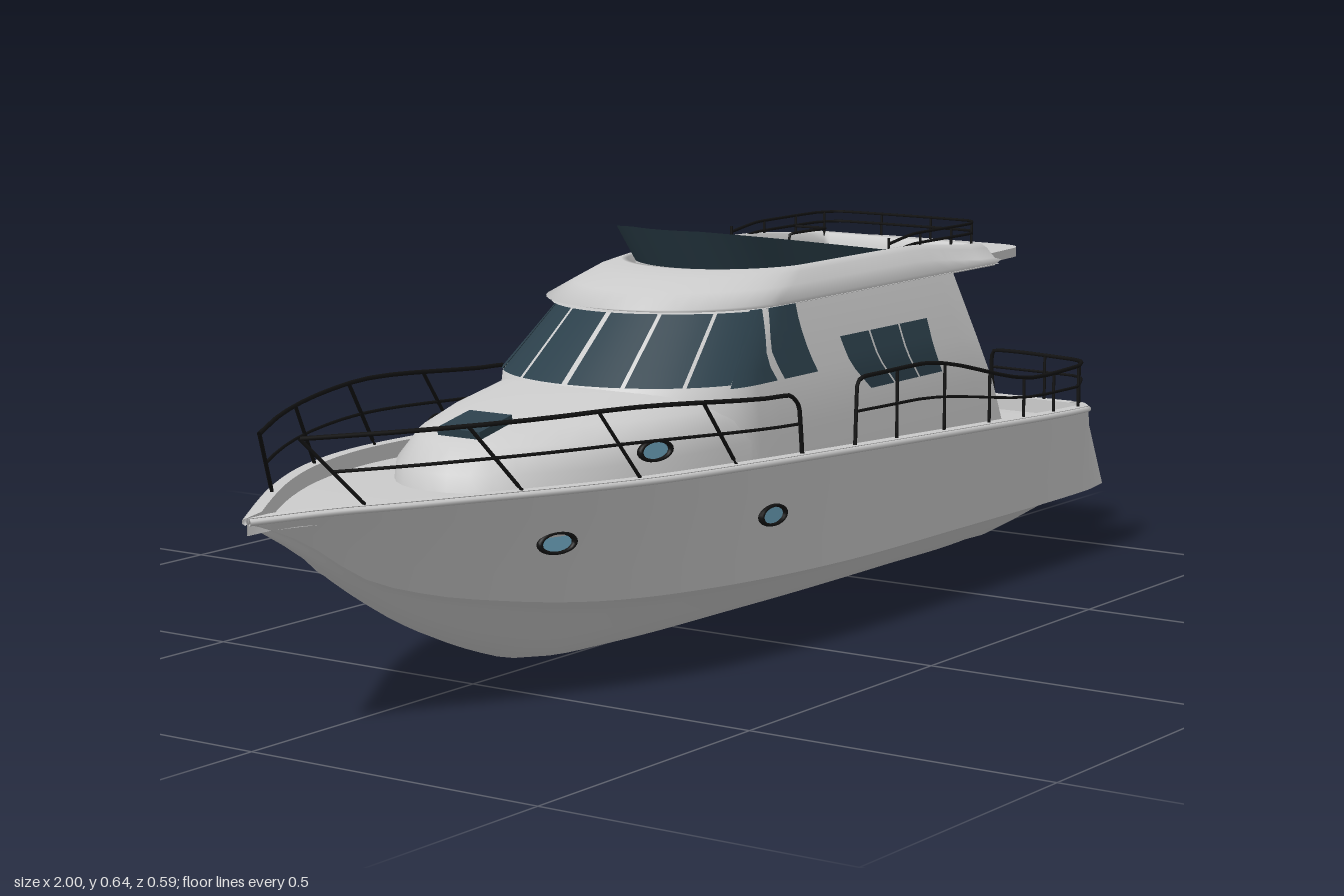
import * as THREE from 'three';

const mat = (color) => new THREE.MeshStandardMaterial({ color, side: THREE.DoubleSide });
const GREY = mat(0xcccccc), GLASS = mat(0x2c404b), BLUE = mat(0x6a9fb8), BLACK = mat(0x111111);
const lerp = THREE.MathUtils.lerp;
const V = (x, y, z) => new THREE.Vector3(x, y, z);

// Smooth surface through rows of points
function grid(rows) {
  const n = rows[0].length, index = [];
  for (let i = 0; i < rows.length - 1; i++) for (let j = 0; j < n - 1; j++) {
    const a = i * n + j, b = a + n;
    index.push(a, b, a + 1, b, b + 1, a + 1);
  }
  const g = new THREE.BufferGeometry().setFromPoints(rows.flat());
  g.setIndex(index);
  g.computeVertexNormals();
  return g;
}
const range = (a, b, n) => Array.from({ length: n + 1 }, (_, i) => lerp(a, b, i / n));

// Hull stations: sheer height, sheer half width, chine height, chine half width, keel height
const HULL_X = [-1, -.9, -.8, -.7, -.6, -.5, -.4, -.2, .1, .5, .8, .88, .93, 1];
const HULL = [
  .33, .004, .325, .003, .32, .335, .065, .28, .02, .265, .336, .125, .215, .045, .2,
  .336, .175, .18, .088, .14, .334, .215, .16, .132, .09, .331, .245, .145, .17, .05,
  .327, .265, .135, .2, .02, .319, .283, .125, .24, .007, .305, .29, .115, .262, .002,
  .285, .288, .112, .266, 0, .269, .28, .11, .265, .003, .265, .274, .11, .264, .014,
  .262, .265, .11, .262, .1, .26, .235, .11, .25, .107];
const hullCurve = new THREE.CubicInterpolant(HULL_X, HULL, 5);
function hullAt(x) {
  const [sy, sw, cy, cw, ky] = hullCurve.evaluate(x);
  return { sy, sw, cy, cw, ky, sx: x > .9 ? .9 + (x - .9) * .55 : x };
}
const hullZ = (x, y) => {
  const h = hullAt(x);
  return lerp(h.cw, h.sw, (y - h.cy) / (h.sy - h.cy));
};

// Plan outline of a cabin level [y, front, halfWidth, noseLength, aft];
// |s| 0-1 is the rounded nose, 1-2 the side, 2-3 the back
function plan([y, f, w, a, aft], s) {
  const t = Math.abs(s), sign = Math.sign(s);
  if (t <= 1) return V(f + a * (1 - Math.cos(t * Math.PI / 2)), y, sign * w * Math.sin(t * Math.PI / 2));
  if (t <= 2) return V(lerp(f + a, aft, t - 1), y, sign * w);
  return V(aft, y, sign * w * (3 - t));
}
const CABIN = [[.25, -.28, .237, .2, .67], [.34, -.275, .233, .2, .635], [.42, -.27, .224, .2, .595], [.53, -.14, .19, .2, .57]];
function levelAt(y) {
  let i = 0;
  while (i < CABIN.length - 2 && y > CABIN[i + 1][0]) i++;
  const t = (y - CABIN[i][0]) / (CABIN[i + 1][0] - CABIN[i][0]);
  return CABIN[i].map((v, k) => lerp(v, CABIN[i + 1][k], t));
}
function sAt(x, y) {
  const [, f, , a, aft] = levelAt(y);
  return x < f + a ? Math.acos(1 - (x - f) / a) / (Math.PI / 2) : 1 + (x - f - a) / (aft - f - a);
}

export function createModel() {
  const boat = new THREE.Group();
  const add = (name, geo, material = GREY, parent = boat) => {
    const m = new THREE.Mesh(geo, material);
    m.name = name;
    parent.add(m);
    return m;
  };
  const box = (name, w, h, d, x, y, z, material) => {
    const m = add(name, new THREE.BoxGeometry(w, h, d), material);
    m.position.set(x, y, z);
    return m;
  };
  const tube = (name, pts, r = .0035) =>
    add(name, new THREE.TubeGeometry(new THREE.CatmullRomCurve3(pts, false, 'catmullrom', .2), pts.length * 6, r, 6), BLACK);

  // Hull, bulwark and deck strips
  const stations = [...range(-1, .8, 45), ...range(.82, 1, 9)].map(hullAt);
  const xs = [...range(-1, .8, 45), ...range(.82, 1, 9)];
  const bottomShape = [[1, 1], [.87, .89], [.75, .76], [.56, .48], [.37, .22], [.18, .06], [0, 0]];
  add('hullBottom', grid(stations.map((h, i) => {
    const half = bottomShape.map(([u, v]) => V(xs[i], lerp(h.ky, h.cy, v), h.cw * u));
    return [...half, ...half.slice(0, -1).reverse().map((p) => V(p.x, p.y, -p.z))];
  })));
  const inner = (h) => Math.max(h.sw - .02, .001), edge = (h) => Math.min(h.sx, .935);
  for (const k of [1, -1]) {
    add('hullSide', grid(stations.map((h, i) => range(0, 1, 4).map((t) =>
      V(lerp(xs[i], h.sx, t), lerp(h.cy, h.sy, t), k * lerp(h.cw, h.sw, t))))));
    add('gunwale', grid(stations.map((h) => [V(h.sx, h.sy, k * h.sw), V(edge(h), h.sy, k * inner(h))])));
    add('bulwarkInside', grid(stations.map((h) => [V(edge(h), h.sy, k * inner(h)), V(edge(h), h.sy - .025, k * inner(h))])));
    add('rubbingStrake', new THREE.TubeGeometry(new THREE.CatmullRomCurve3(
      stations.map((h) => V(h.sx, h.sy - .006, k * h.sw))), 80, .005, 6));
  }
  add('deck', grid(stations.map((h) => range(-1, 1, 4).map((u) => V(edge(h), h.sy - .025, u * inner(h))))));
  const end = stations.at(-1);
  add('transom', grid(range(0, 1, 3).map((t) => range(-1, 1, 8).map((u) =>
    V(lerp(1, end.sx, t), lerp(end.cy, end.sy, t), u * lerp(end.cw, end.sw, t))))));
  box('transomTop', .02, .025, .43, .945, .248, 0);
  box('transomStep', .012, .018, .4, .992, .122, 0);

  // Low trunk cabin on the foredeck
  const nose = range(-2, 2, 48);
  const trunk = [[.27, -.61, .237, .5, 0], [.335, -.6, .232, .5, 0], [.37, -.55, .222, .46, 0],
    [.39, -.48, .208, .4, 0], [.41, -.36, .19, .3, 0], [.422, -.27, .17, .2, 0]];
  add('foredeckTrunk', grid(trunk.map((l) => nose.map((s) => plan(l, s)))));
  add('trunkTop', grid(nose.filter((s) => s >= 0).map((s) => [-s, s].map((q) => plan(trunk[5], q)))));
  const hatch = box('foredeckHatch', .08, .012, .08, -.49, .392, 0, GLASS);
  hatch.rotation.z = .2;

  // Saloon walls, with an inset bulkhead facing the cockpit
  add('saloonWalls', grid(CABIN.map((l) => nose.map((s) => plan(l, s)))));
  add('aftBulkhead', grid(CABIN.map((l) => [V(.53, l[0], -l[2]), V(.53, l[0], l[2])])));
  box('saloonDoor', .008, .25, .17, .534, .385, .02);

  // Window panes laid just outside the walls
  const pane = (name, y0, y1, b, t) => add(name, grid(range(0, 1, 5).map((v) => range(0, 1, 6).map((u) => {
    const l = levelAt(lerp(y0, y1, v));
    l[1] -= .004;
    l[2] += .004;
    return plan(l, lerp(lerp(b[0], b[1], u), lerp(t[0], t[1], u), v));
  }))), GLASS);
  for (const k of [1, -1]) {
    for (const [a, b] of [[.015, .27], [.29, .55], [.57, .8]])
      pane('windscreen', .425, .525, [k * a, k * b], [k * a, k * b]);
    const side = (name, y0, y1, b, t) =>
      pane(name, y0, y1, b.map((x) => k * sAt(x, y0)), t.map((x) => k * sAt(x, y1)));
    side('pilothouseWindow', .42, .528, [-.13, -.015], [-.02, 0.002]);
    side('pilothouseDoorWindow', .42, .528, [.005, .1], [.015, .085]);
    for (let i = 0; i < 3; i++) {
      const b = [.25 + i * .075, .32 + i * .075], t = [.185 + i * .09, .27 + i * .09];
      side('saloonWindow', .375, .465, b, t);
    }
  }

  // Flybridge: visor, coaming and sunken floor
  const ring = range(-3, 3, 72);
  const bridge = [[.525, -.14, .19, .2, .71], [.535, -.19, .198, .22, .72], [.555, -.13, .185, .22, .72], [.572, -.07, .172, .2, .715],
    [.58, -.01, .162, .18, .71], [.578, .01, .15, .14, .7], [.543, .02, .147, .14, .695]];
  const bridgeRows = bridge.map((l) => ring.map((s) => {
    const p = plan(l, s);
    if (p.y > .55) p.y -= .018 * THREE.MathUtils.smoothstep(p.x, .45, .72);
    return p;
  }));
  add('flybridgeCoaming', grid(bridgeRows));
  const across = (l) => grid(range(0, 2, 24).map((s) => [plan(l, -s), plan(l, s)]));
  add('flybridgeFloor', across(bridge[6]));
  add('visorUnderside', across([.528, -.18, .195, .22, .72]));
  const roof = new THREE.Shape();
  roof.moveTo(.3, -.188).lineTo(.6, -.185).lineTo(.82, -.165).quadraticCurveTo(.86, -.16, .862, -.11)
    .lineTo(.862, .11).quadraticCurveTo(.86, .16, .82, .165).lineTo(.6, .185).lineTo(.3, .188);
  const slab = add('roofOverhang', new THREE.ExtrudeGeometry(roof, { depth: .016, bevelEnabled: false }));
  slab.rotation.x = Math.PI / 2;
  slab.position.y = .543;

  // Tinted flybridge screen, tapering aft
  const low = [.575, .03, .153, .15, .41], high = [.64, -.012, .164, .16, .4];
  add('flybridgeScreen', grid([0, 1].map((t) => nose.map((s) => {
    const a = plan(low, s), b = plan(high, s);
    b.y = .64 - .06 * THREE.MathUtils.clamp(b.x / .4, 0, 1);
    return t ? b : a;
  }))), GLASS);

  // Helm and seat
  box('helmConsole', .06, .03, .2, .09, .56, 0);
  const wheel = add('helmWheel', new THREE.TorusGeometry(.018, .002, 6, 20), BLACK);
  wheel.rotation.y = Math.PI / 2;
  wheel.position.set(.13, .582, -.04);
  for (const z of [.015, .03]) box('gauge', .006, .012, .012, .122, .58, z, BLACK);

  // Flybridge aft rail and stair guard
  for (const y of [.597, .58]) tube('flybridgeRail', [V(.42, y - .01, .157), V(.5, y, .157), V(.68, y, .157), V(.725, y, .13),
    V(.73, y, 0), V(.725, y, -.13), V(.68, y, -.157), V(.5, y, -.157), V(.42, y - .01, -.157)], .0025);
  for (const [x, z] of [[.42, .157], [.52, .157], [.62, .157], [.7, .15], [.73, .05]])
    for (const k of [1, -1]) tube('flybridgeRailPost', [V(x, .545, k * z), V(x, .597, k * z)], .0025);
  tube('stairGuard', [V(.5, .545, -.09), V(.5, .58, -.09), V(.61, .58, -.09), V(.61, .58, -.15)], .0025);

  // Rounded steps up to the flybridge
  [[.34, .06, -.16, .6], [.375, .058, -.158, .59], [.41, .056, -.156, .575], [.45, .03, -.13, .56]].forEach(([y, r, z, x]) => {
    const riser = add('stairRiser', new THREE.CylinderGeometry(r * .93, r * .93, y - .25, 24));
    riser.position.set(x, (y + .25) / 2 - .003, z);
    const tread = add('stairTread', new THREE.CylinderGeometry(r, r, .006, 24));
    tread.position.set(x, y, z);
  });

  // Deck rails following the sheer; posts reach down to the gunwale
  const onSheer = (x, y, k) => V(x, y, k * Math.max(hullAt(x).sw - .01, .01));
  const foreTop = (x) => lerp(.435, .405, THREE.MathUtils.smoothstep(x, -.5, 0));
  const aftTop = (x) => lerp(.41, .337, THREE.MathUtils.smoothstep(x, .3, .75));
  for (const k of [1, -1]) {
    const base = (x) => hullAt(x).sy;
    const foreXs = range(-.93, -.06, 14);
    tube('bowRail', [...foreXs.map((x) => onSheer(x, foreTop(x), k)), onSheer(-.035, .385, k), onSheer(-.025, .3, k)]);
    tube('bowMidRail', range(-.89, -.03, 14).map((x) => onSheer(x, (foreTop(x) + base(x)) / 2, k)), .0025);
    for (const x of [-.85, -.63, -.42, -.2])
      tube('bowRailPost', [onSheer(x, base(x), k), onSheer(x - .08, foreTop(x - .08), k)], .003);

    const stern = (y) => [V(.925, y, k * .245), V(.945, y, k * .21), V(.955, y, k * .05)];
    tube('aftRail', [onSheer(.125, base(.125), k), onSheer(.13, .4, k), ...range(.15, .88, 12).map((x) => onSheer(x, aftTop(x), k)),
      ...stern(.337), V(.955, .255, k * .05)]);
    tube('aftMidRail', [...range(.13, .88, 12).map((x) => onSheer(x, (aftTop(x) + base(x)) / 2, k)), ...stern(.308)], .0025);
    for (const x of [.25, .4, .55, .67, .78, .88])
      tube('aftRailPost', [onSheer(x, base(x), k), onSheer(x, aftTop(x), k)], .003);
    for (const z of [.23, .16]) tube('sternRailPost', [V(.945, .255, k * z), V(.945, .337, k * z)], .003);
  }

  // Oval portholes in the hull and trunk
  const trunkZ = (x) => plan([0, -.58, .23, .48, 0], Math.acos(1 - (x + .58) / .48) / (Math.PI / 2)).z;
  for (const [x, y, zOf] of [[-.55, .245, (q) => hullZ(q, .245)], [-.1, .225, (q) => hullZ(q, .225)], [-.32, .35, trunkZ]])
    for (const k of [1, -1]) {
      const port = new THREE.Group();
      port.name = 'porthole';
      const slope = Math.atan((zOf(x + .02) - zOf(x - .02)) / .04);
      port.position.set(x, y, k * (zOf(x) + .004));
      port.rotation.y = k > 0 ? -slope : Math.PI + slope;
      port.scale.set(1, .5, 1);
      add('portholeRim', new THREE.TorusGeometry(.03, .005, 8, 24), BLACK, port);
      add('portholeGlass', new THREE.CircleGeometry(.03, 24), BLUE, port);
      boat.add(port);
    }
  return boat;
}
